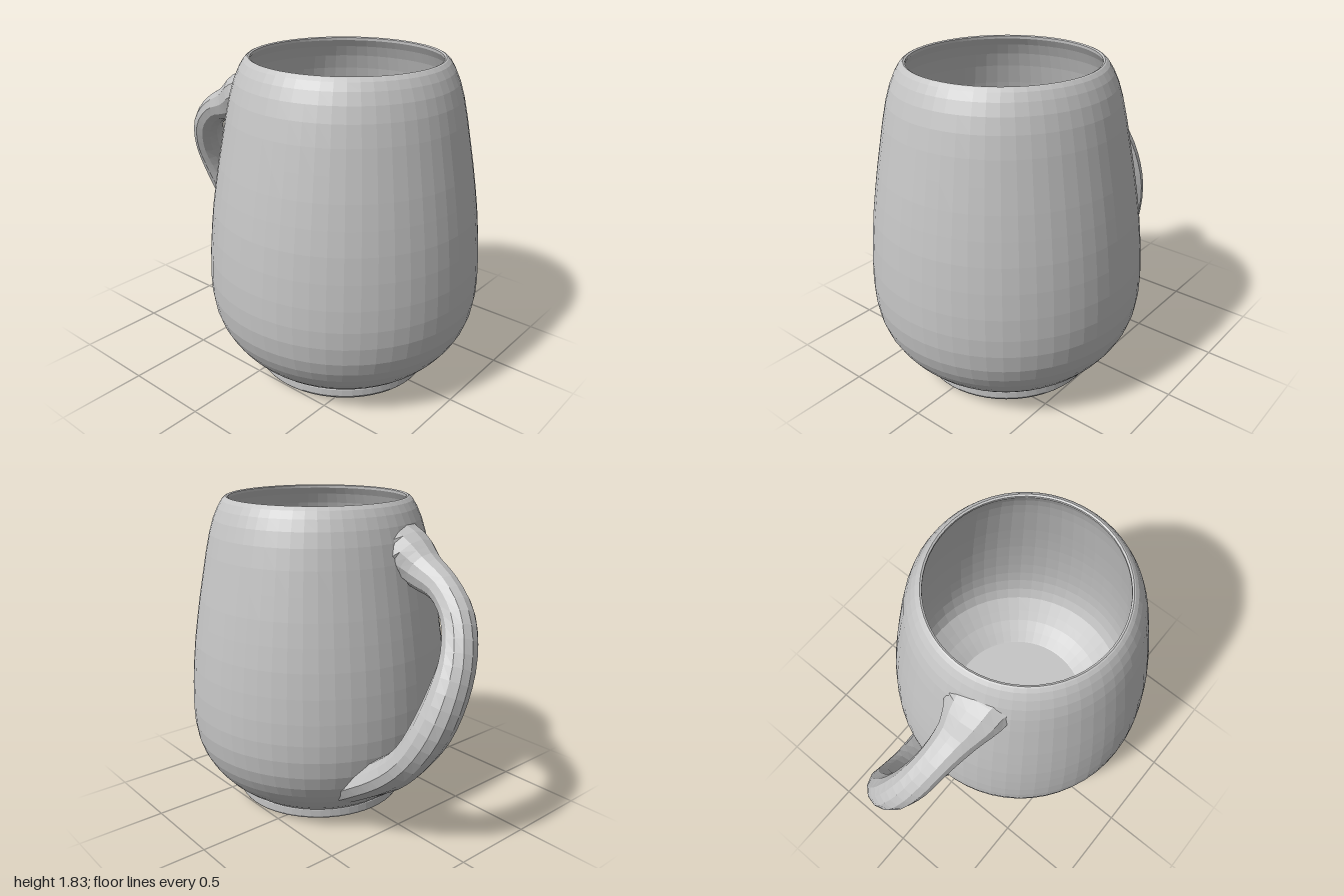
import * as THREE from 'three';

const BODY_Z = 0.225;

// Outer wall of the cup as [radius, height], foot to rim
const OUTER = [
  [0.51, 0.07], [0.53, 0.085], [0.57, 0.115], [0.615, 0.155], [0.655, 0.2], [0.695, 0.255],
  [0.73, 0.32], [0.757, 0.4], [0.772, 0.5], [0.775, 0.6], [0.77, 0.72], [0.758, 0.86],
  [0.742, 1.0], [0.722, 1.13], [0.7, 1.26], [0.675, 1.39], [0.65, 1.52], [0.625, 1.63],
  [0.6, 1.71], [0.573, 1.77], [0.548, 1.81], [0.53, 1.827],
];

function outerRadius(y) {
  for (let i = 1; i < OUTER.length; i++) {
    const [r0, y0] = OUTER[i - 1], [r1, y1] = OUTER[i];
    if (y <= y1) return r0 + (r1 - r0) * Math.max(0, (y - y0) / (y1 - y0));
  }
  return 0.53;
}

// One closed profile: underside, foot, outer wall, rim, inner wall, floor
function cupGeometry() {
  const wall = 0.035;
  const inner = OUTER.slice(6, -1).reverse().map(([r, y]) => [r - wall, y]);
  const profile = [
    [0, 0], [0.47, 0.005], [0.505, 0.012], [0.512, 0.025], [0.512, 0.065],
    ...OUTER, [0.522, 1.83], [0.512, 1.825], ...inner,
    [0.63, 0.245], [0.58, 0.19], [0.52, 0.138], [0.462, 0.086], [0.455, 0.08], [0, 0.08],
  ];
  return new THREE.LatheGeometry(profile.map(([r, y]) => new THREE.Vector2(r, y)), 56);
}

// Twisted handle: stations of centre x, y, z, half width, half thickness
function handleGeometry() {
  const stations = [
    [-0.14, 1.62, -0.2, 0.2, 0.13],
    [-0.15, 1.56, -0.36, 0.17, 0.135],
    [-0.15, 1.485, -0.49, 0.12, 0.11],
    [-0.135, 1.42, -0.65, 0.095, 0.085],
    [-0.095, 1.3, -0.79, 0.095, 0.085],
    [-0.02, 1.13, -0.875, 0.1, 0.093],
    [0.065, 0.95, -0.892, 0.105, 0.106],
    [0.135, 0.76, -0.855, 0.11, 0.108],
    [0.17, 0.58, -0.755, 0.115, 0.095],
    [0.16, 0.435, -0.605, 0.155, 0.098],
    [0.145, 0.3, -0.4, 0.21, 0.1],
    [0.12, 0.2, -0.24, 0.24, 0.1],
  ];
  const path = new THREE.CatmullRomCurve3(stations.map(s => new THREE.Vector3(s[0], s[1], s[2])));
  const size = new THREE.CatmullRomCurve3(
    stations.map(s => new THREE.Vector3(s[3], s[4], 0)), false, 'catmullrom');
  const rings = 33, sides = 12;
  const pos = [], index = [];
  for (let i = 0; i <= rings; i++) {
    const u = i / rings;
    const c = path.getPoint(u), s = size.getPoint(u), T = path.getTangent(u);
    const L = new THREE.Vector3(1, 0, 0).addScaledVector(T, -T.x).normalize();
    const N = new THREE.Vector3().crossVectors(T, L);
    for (let j = 0; j < sides; j++) {
      const a = (j / sides) * Math.PI * 2;
      const p = c.clone().addScaledVector(L, s.x * Math.cos(a)).addScaledVector(N, s.y * Math.sin(a));
      // Roots stay just under the cup's outer skin, clear of its inside
      const dz = p.z - BODY_Z, r = Math.hypot(p.x, dz), min = outerRadius(p.y) - 0.015;
      if (r < min) {
        p.x *= min / r;
        p.z = BODY_Z + dz * min / r;
      }
      pos.push(p.x, p.y, p.z);
      if (i < rings) {
        const k = (j + 1) % sides;
        const a0 = i * sides + j, b0 = i * sides + k;
        index.push(a0, b0, a0 + sides, b0, b0 + sides, a0 + sides);
      }
    }
  }
  const g = new THREE.BufferGeometry();
  g.setAttribute('position', new THREE.Float32BufferAttribute(pos, 3));
  g.setIndex(index);
  g.computeVertexNormals();
  return g;
}

export function createModel() {
  const model = new THREE.Group();
  model.name = 'mug';
  const clay = new THREE.MeshStandardMaterial({ color: 0xc4c4c4, flatShading: true });
  clay.name = 'grey clay';

  const cup = new THREE.Mesh(cupGeometry(), clay);
  cup.name = 'cup';
  cup.position.z = BODY_Z;

  const handle = new THREE.Mesh(handleGeometry(), clay);
  handle.name = 'handle';

  model.add(cup, handle);
  return model;
}
